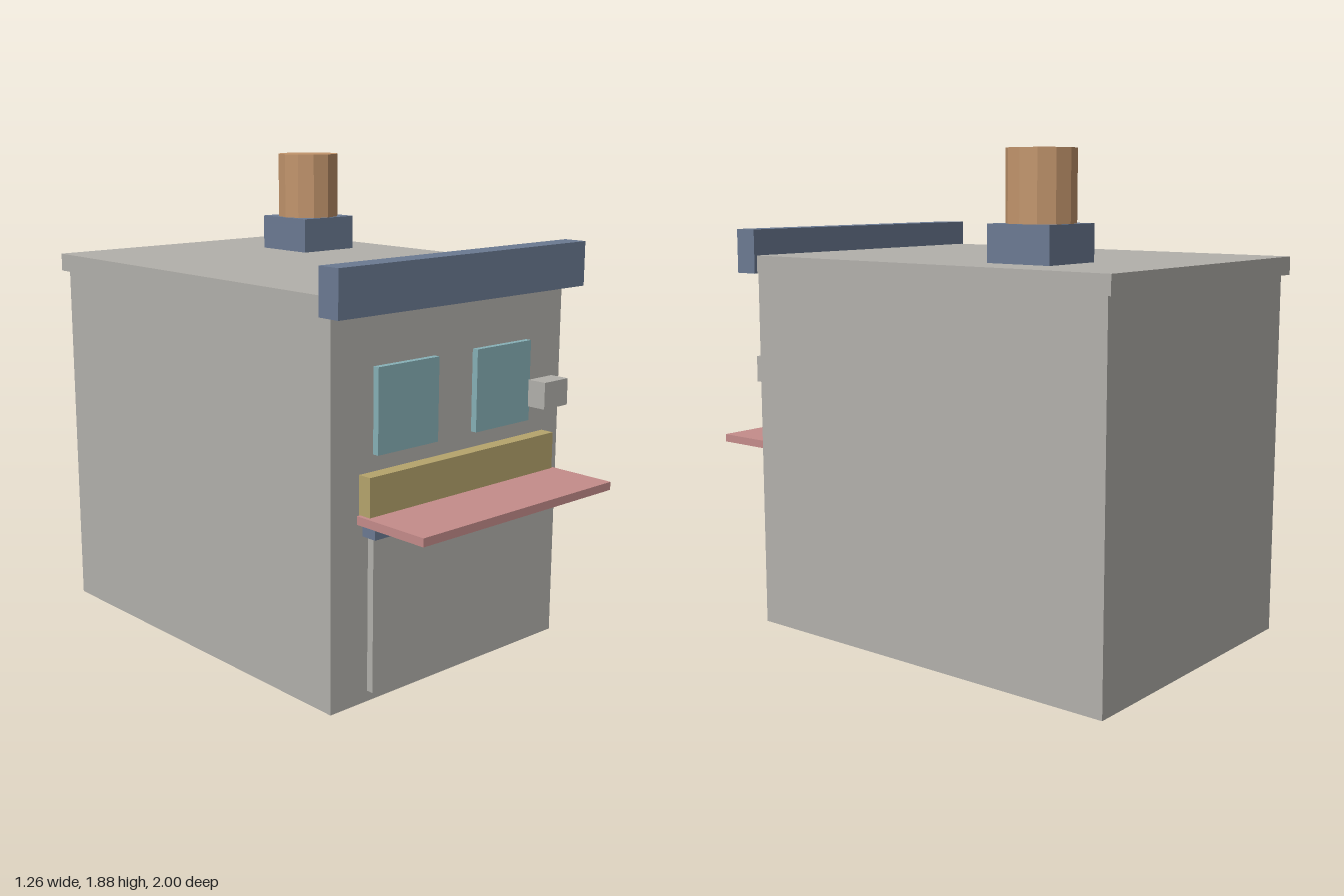
import * as THREE from 'three';

const mat = (name, color, flatShading = false) => {
  const m = new THREE.MeshStandardMaterial({ color, flatShading });
  m.name = name;
  return m;
};

export function createModel() {
  const group = new THREE.Group();
  group.name = 'shopBuilding';

  const grey = mat('wallGrey', 0xb2b0ab);
  const blue = mat('slateBlue', 0x6b7a92);
  const teal = mat('glassTeal', 0x87b0b6);
  const yellow = mat('signYellow', 0xb5a46c);
  const pink = mat('awningPink', 0xc48c8a);
  const copper = mat('chimneyCopper', 0xc2956c, true);

  // Box given by its extents along each axis
  const box = (name, material, [x0, x1], [y0, y1], [z0, z1]) => {
    const mesh = new THREE.Mesh(new THREE.BoxGeometry(x1 - x0, y1 - y0, z1 - z0), material);
    mesh.position.set((x0 + x1) / 2, (y0 + y1) / 2, (z0 + z1) / 2);
    mesh.name = name;
    group.add(mesh);
  };

  // Main block, roof slab and front parapet
  box('body', grey, [-0.595, 0.595], [0, 1.41], [-0.975, 0.655]);
  box('roof', grey, [-0.617, 0.617], [1.41, 1.48], [-1, 0.637]);
  box('parapet', blue, [-0.63, 0.63], [1.41, 1.58], [0.637, 0.733]);

  // Shopfront: door, lintel, awning and sign board
  box('door', grey, [-0.42, 0.42], [0.04, 0.625], [0.655, 0.683]);
  box('lintel', blue, [-0.447, 0.447], [0.625, 0.69], [0.655, 0.72]);
  box('awning', pink, [-0.497, 0.493], [0.684, 0.715], [0.682, 1]);
  box('signBoard', yellow, [-0.482, 0.48], [0.70, 0.857], [0.675, 0.73]);

  // Upper windows
  box('rightWindow', teal, [-0.398, -0.102], [0.91, 1.22], [0.655, 0.68]);
  box('leftWindow', teal, [0.098, 0.394], [0.91, 1.22], [0.655, 0.68]);

  // Small wall unit beside the left window
  box('wallUnit', grey, [0.387, 0.521], [0.965, 1.068], [0.68, 0.76]);

  // Chimney
  box('chimneyBase', blue, [0.16, 0.43], [1.48, 1.618], [-0.625, -0.355]);
  const pot = new THREE.Mesh(new THREE.CylinderGeometry(0.127, 0.127, 0.262, 12), copper);
  pot.position.set(0.295, 1.749, -0.49);
  pot.name = 'chimneyPot';
  group.add(pot);

  return group;
}
